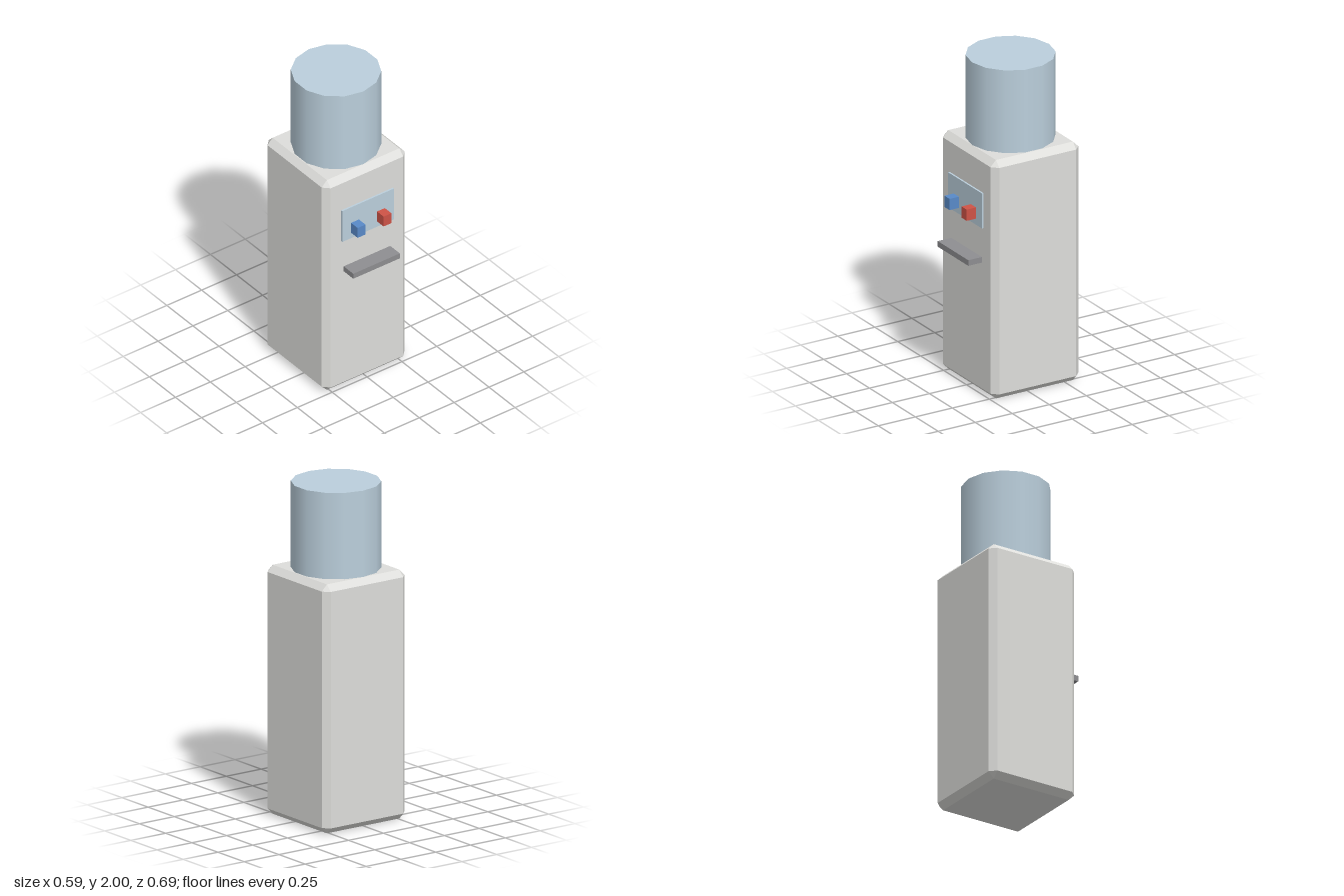
import * as THREE from 'three';
import { ConvexGeometry } from 'three/addons/geometries/ConvexGeometry.js';

const material = (name, color) => {
  const m = new THREE.MeshStandardMaterial({ color });
  m.name = name;
  return m;
};

// Box with every edge cut at 45 degrees
function chamferedBox(w, h, d, c) {
  const points = [];
  for (const x of [-1, 1]) for (const y of [-1, 1]) for (const z of [-1, 1]) {
    for (let axis = 0; axis < 3; axis++) {
      const inset = [c, c, c];
      inset[axis] = 0;
      points.push(new THREE.Vector3(
        x * (w / 2 - inset[0]), y * (h / 2 - inset[1]), z * (d / 2 - inset[2])));
    }
  }
  return new ConvexGeometry(points);
}

export function createModel() {
  const group = new THREE.Group();
  group.name = 'waterCooler';

  const casing = material('casing grey', 0xdededb);
  const water = material('water blue', 0xbbcfdc);
  const cold = material('cold tap blue', 0x598ac8);
  const hot = material('hot tap red', 0xce5347);
  const trayGrey = material('tray grey', 0x8e8e91);

  const add = (name, geometry, mat, x, y, z) => {
    const mesh = new THREE.Mesh(geometry, mat);
    mesh.name = name;
    mesh.position.set(x, y, z);
    group.add(mesh);
  };

  // Cabinet and the bottle standing on it
  add('cabinet', chamferedBox(0.594, 1.485, 0.593, 0.037), casing, 0, 0.7425, -0.0475);
  add('bottle', new THREE.CylinderGeometry(0.26, 0.26, 0.517, 14), water, 0, 1.7415, -0.0475);

  // Front panel with cold and hot taps
  add('tapPanel', new THREE.BoxGeometry(0.37, 0.218, 0.013), water, 0, 1.151, 0.2535);
  for (const [name, mat, x] of [['coldTap', cold, -0.094], ['hotTap', hot, 0.092]]) {
    add(name, new THREE.BoxGeometry(0.056, 0.07, 0.066), mat, x, 1.115, 0.29);
  }

  // Drip tray
  add('dripTray', new THREE.BoxGeometry(0.334, 0.035, 0.097), trayGrey, 0, 0.838, 0.2925);

  return group;
}
